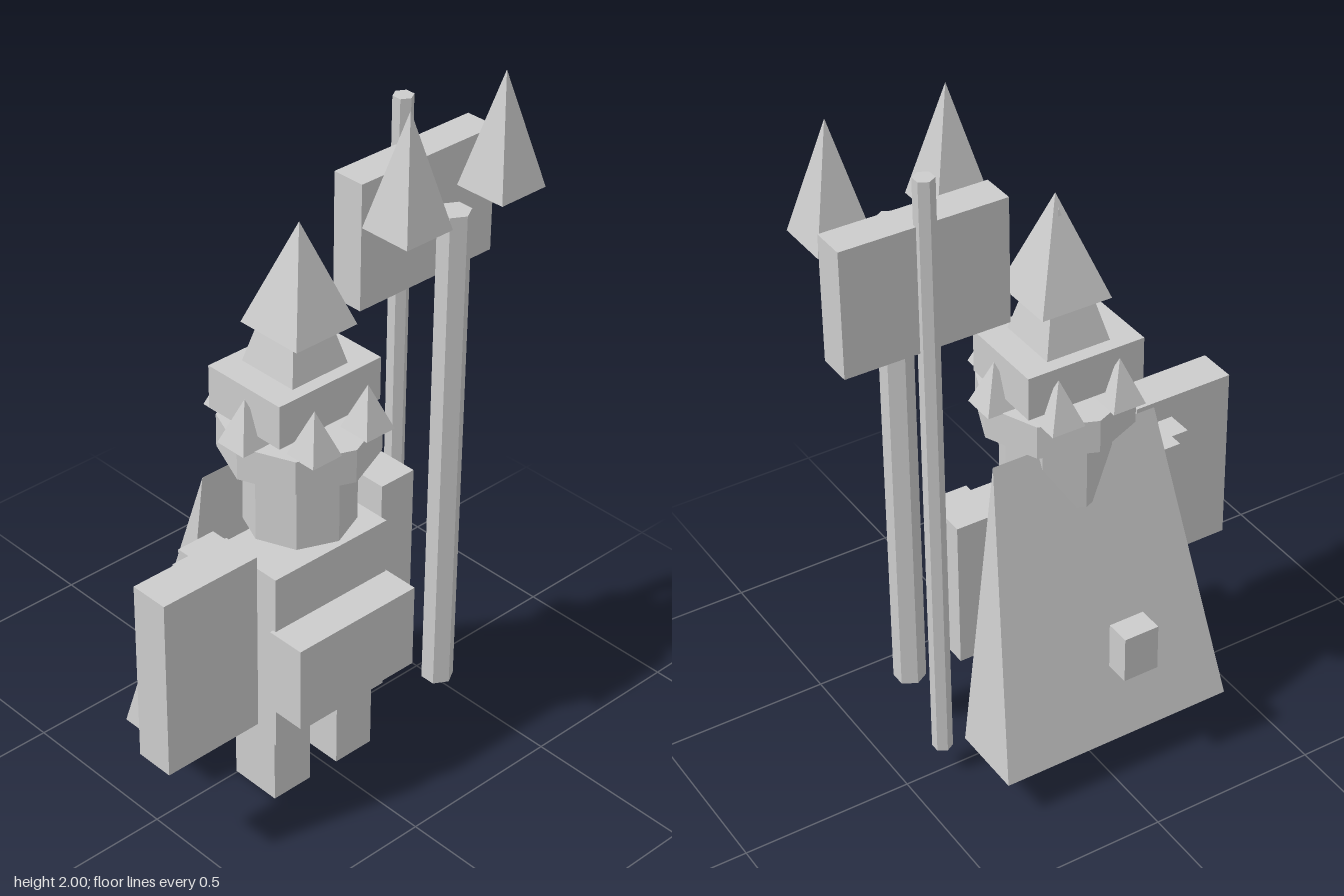
import * as THREE from 'three';

const stone = new THREE.MeshStandardMaterial({ color: 0xcccccc, flatShading: true });
stone.name = 'light grey';

export function createModel() {
  const model = new THREE.Group();
  model.name = 'towerKnight';
  const CX = -0.022, CZ = 0.053; // axis of the tower head

  const add = (name, geometry, x = 0, y = 0, z = 0) => {
    const mesh = new THREE.Mesh(geometry, stone);
    mesh.name = name;
    mesh.position.set(x, y, z);
    model.add(mesh);
    return mesh;
  };
  // Box given by its lower and upper bounds
  const box = (name, x0, x1, y0, y1, z0, z1) =>
    add(name, new THREE.BoxGeometry(x1 - x0, y1 - y0, z1 - z0), (x0 + x1) / 2, (y0 + y1) / 2, (z0 + z1) / 2);
  // Upright prism with a corner facing front
  const prism = (name, r, sides, x, y0, y1, z) =>
    add(name, new THREE.CylinderGeometry(r, r, y1 - y0, sides), x, (y0 + y1) / 2, z);
  // Square pyramid aligned to the axes
  const pyramid = (name, half, x, y0, y1, z) =>
    add(name, new THREE.ConeGeometry(half * Math.SQRT2, y1 - y0, 4).rotateY(Math.PI / 4), x, (y0 + y1) / 2, z);

  // Body
  box('rightLeg', -0.205, -0.073, 0, 0.215, -0.005, 0.155);
  box('leftLeg', 0.028, 0.16, 0, 0.215, -0.005, 0.155);
  box('torso', -0.222, 0.18, 0.215, 0.77, -0.04, 0.18);
  box('belly', -0.233, 0.185, 0.345, 0.602, 0.17, 0.288);
  box('rightArm', -0.377, -0.257, 0.387, 0.837, -0.025, 0.127);
  box('leftArm', 0.213, 0.332, 0.387, 0.837, -0.025, 0.127);

  // Shield and its mount
  box('shieldMount', -0.43, -0.29, 0.387, 0.837, 0.015, 0.172);
  box('shield', -0.623, -0.313, 0.36, 0.905, 0.093, 0.21);

  // Wedge cape, thick at the hem and sharp at the shoulders
  const cape = new THREE.BufferGeometry();
  cape.setAttribute('position', new THREE.Float32BufferAttribute([
    -0.38, 0.122, -0.042, 0.335, 0.122, -0.042,
    0.335, 0.122, -0.27, -0.38, 0.122, -0.27,
    -0.275, 1.007, -0.042, 0.23, 1.007, -0.042,
  ], 3));
  cape.setIndex([0, 1, 5, 0, 5, 4, 2, 3, 4, 2, 4, 5, 0, 2, 1, 0, 3, 2, 1, 2, 5, 3, 0, 4]);
  const capeFlat = cape.toNonIndexed();
  capeFlat.computeVertexNormals();
  add('cape', capeFlat);
  box('capeStud', -0.122, -0.015, 0.357, 0.5, -0.305, -0.23);

  // Tower head with battlement ring
  prism('head', 0.155, 8, CX, 0.815, 1.015, CZ);
  prism('crownRing', 0.217, 8, CX, 1.033, 1.132, CZ);
  for (const [x, z] of [[-0.116, -0.11], [0.071, -0.11], [-0.116, 0.211], [0.071, 0.211], [-0.208, 0.05], [0.166, 0.05]])
    pyramid('crownSpike', 0.05, x, 1.13, 1.262, z);
  box('hat', -0.198, 0.156, 1.163, 1.29, -0.1, 0.17);
  pyramid('lowerSpire', 0.096, CX, 1.29, 1.67, 0.036);
  pyramid('upperSpire', 0.105, CX, 1.412, 1.705, 0.051);

  // Staffs, banner and banner spikes
  prism('frontStaff', 0.046, 6, 0.357, 0.175, 1.665, 0.22);
  prism('bannerPole', 0.029, 6, 0.382, 0.088, 1.9, 0.002);
  box('banner', 0.143, 0.622, 1.402, 1.768, 0.003, 0.103);
  for (const x of [0.189, 0.526]) pyramid('bannerSpike', 0.08, x, 1.673, 2, 0.22);

  return model;
}
